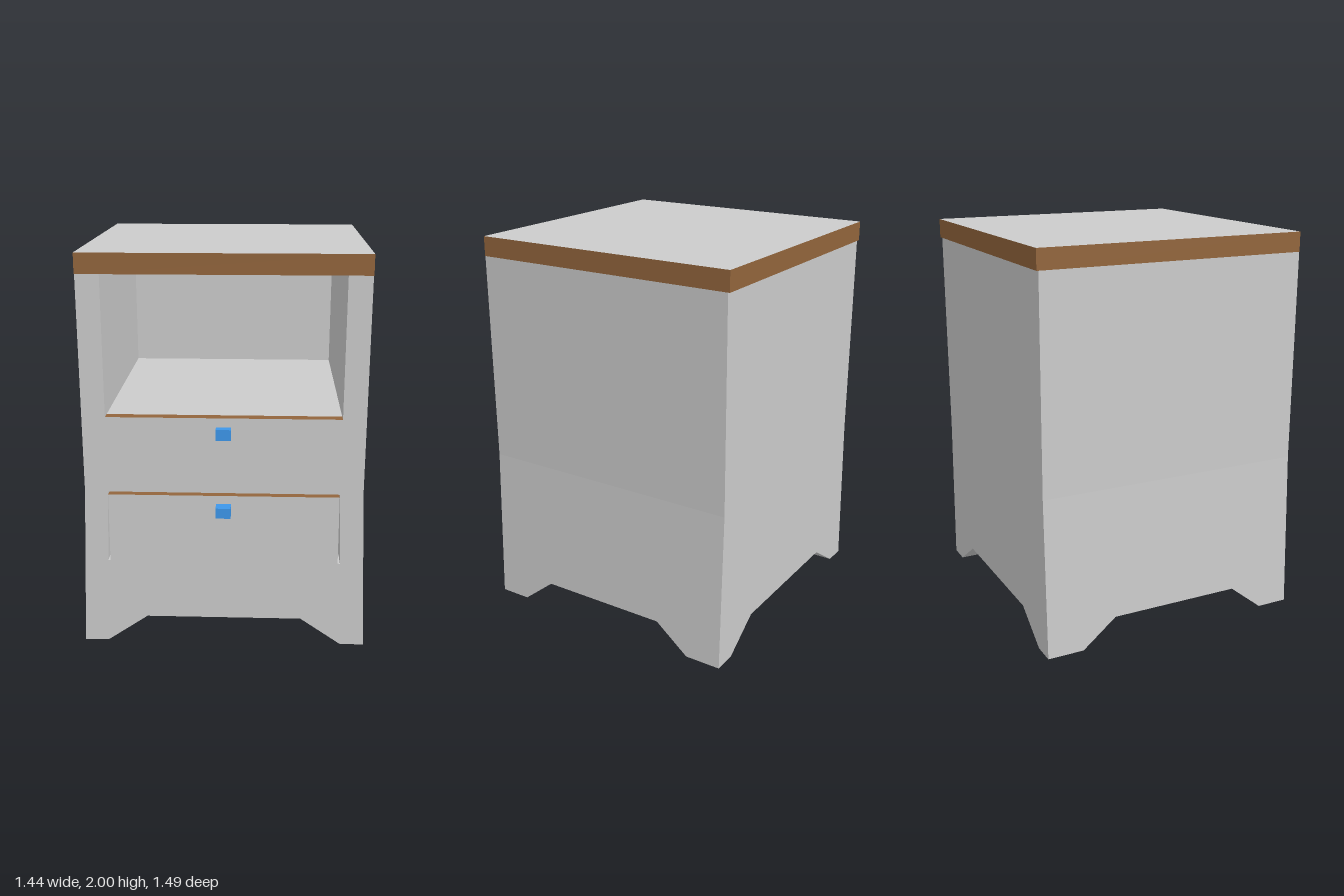
import * as THREE from 'three';

const grey = new THREE.MeshStandardMaterial({ color: 0xcccccc });
const brown = new THREE.MeshStandardMaterial({ color: 0x92653c });
const blue = new THREE.MeshStandardMaterial({ color: 0x3d97ea });

const W = 0.69, T = 0.115, INNER = W - T;   // half width, panel thickness, half opening
const FRONT = 0.665, BACK = -0.735;
const BAND = 0.82, TOP = 1.9;               // waist height, underside of the top

// half width of the body at a height: flared foot, narrow waist, slightly wider head
const halfWidth = y => y < BAND
  ? THREE.MathUtils.lerp(0.718, W, y / BAND)
  : THREE.MathUtils.lerp(W, 0.698, (y - BAND) / (TOP - BAND));

function flare(geo) {
  const p = geo.attributes.position;
  for (let i = 0; i < p.count; i++) p.setX(i, p.getX(i) * halfWidth(p.getY(i)) / W);
  geo.computeVertexNormals();
  return geo;
}

function extrude(points, depth = T) {
  const shape = new THREE.Shape(points.map(([x, y]) => new THREE.Vector2(x, y)));
  return new THREE.ExtrudeGeometry(shape, { depth, bevelEnabled: false });
}

const rect = (x0, x1, y0, y1) => [[x0, y0], [x1, y0], [x1, y1], [x0, y1]];

// box given by its limits; material may be a list per side
function block(name, [x0, x1], [y0, y1], [z0, z1], material = grey) {
  const mesh = new THREE.Mesh(new THREE.BoxGeometry(x1 - x0, y1 - y0, z1 - z0), material);
  mesh.position.set((x0 + x1) / 2, (y0 + y1) / 2, (z0 + z1) / 2);
  mesh.name = name;
  return mesh;
}

export function createModel() {
  const model = new THREE.Group();
  model.name = 'nightstand';
  const add = (name, geo, material = grey) => {
    const mesh = new THREE.Mesh(flare(geo), material);
    mesh.name = name;
    model.add(mesh);
  };

  // outline of the feet with the cut-out between them, left to right
  const frontFeet = [[-W, 0], [-0.575, 0], [-0.38, 0.14], [0.38, 0.14], [0.575, 0], [W, 0]];
  const z0 = BACK + T, z1 = FRONT - T;
  const sideFeet = [[z0, 0], [-0.545, 0], [-0.365, 0.14], [0.325, 0.14], [0.5, 0], [z1, 0]];

  // front frame: feet, rail and lower stiles, then upper stiles
  add('frontFrame', extrude([...frontFeet, [W, BAND], [INNER, BAND], [INNER, 0.45],
    [-INNER, 0.45], [-INNER, BAND], [-W, BAND]]).translate(0, 0, z1));
  for (const x of [-W, INNER]) {
    add('frontStile', extrude(rect(x, x + T, BAND, TOP)).translate(0, 0, z1));
  }

  // back panel
  add('backLower', extrude([...frontFeet, [W, BAND], [-W, BAND]]).translate(0, 0, BACK));
  add('backUpper', extrude(rect(-W, W, BAND, TOP)).translate(0, 0, BACK));

  // side panels
  for (const x of [-INNER, W]) {
    add('sideLower', extrude([...sideFeet, [z1, BAND], [z0, BAND]]).rotateY(-Math.PI / 2).translate(x, 0, 0));
    add('sideUpper', extrude(rect(z0, z1, BAND, TOP)).rotateY(-Math.PI / 2).translate(x, 0, 0));
  }

  // bottom panel and shelf of the open compartment
  model.add(block('bottomPanel', [-0.59, 0.59], [0.285, 0.325], [z0, z1]));
  model.add(block('shelf', [-0.578, 0.578], [1.165, 1.204], [z0, FRONT - 0.055]));

  // top board with brown edges
  model.add(block('topBoard', [-0.7, 0.7], [TOP, 2], [-0.745, FRONT],
    [brown, brown, grey, grey, brown, brown]));

  // upper drawer front, flush between the stiles, with brown edges
  add('upperDrawerFront', extrude(rect(-INNER, INNER, BAND, 1.205), 0.055)
    .translate(0, 0, FRONT - 0.055), [grey, brown]);
  model.add(block('upperHandle', [-0.036, 0.038], [1.106, 1.16], [FRONT, 0.712], blue));

  // lower drawer, slightly proud of the frame, with a tray behind
  const drawer = new THREE.Group();
  drawer.name = 'lowerDrawer';
  const w = 0.54, back = -0.5, inside = 0.625;
  drawer.add(
    block('drawerFront', [-0.572, 0.573], [0.45, 0.81], [inside, 0.68],
      [brown, brown, brown, brown, grey, grey]),
    block('drawerBottom', [-w, w], [0.48, 0.5], [back, inside]),
    block('drawerBack', [-w, w], [0.5, 0.75], [back, back + 0.03]),
    block('lowerHandle', [-0.036, 0.038], [0.716, 0.768], [0.68, 0.745], blue));
  for (const x of [-w, w - 0.03]) {
    drawer.add(block('drawerSide', [x, x + 0.03], [0.5, 0.75], [back + 0.03, inside]));
  }
  model.add(drawer);

  return model;
}
